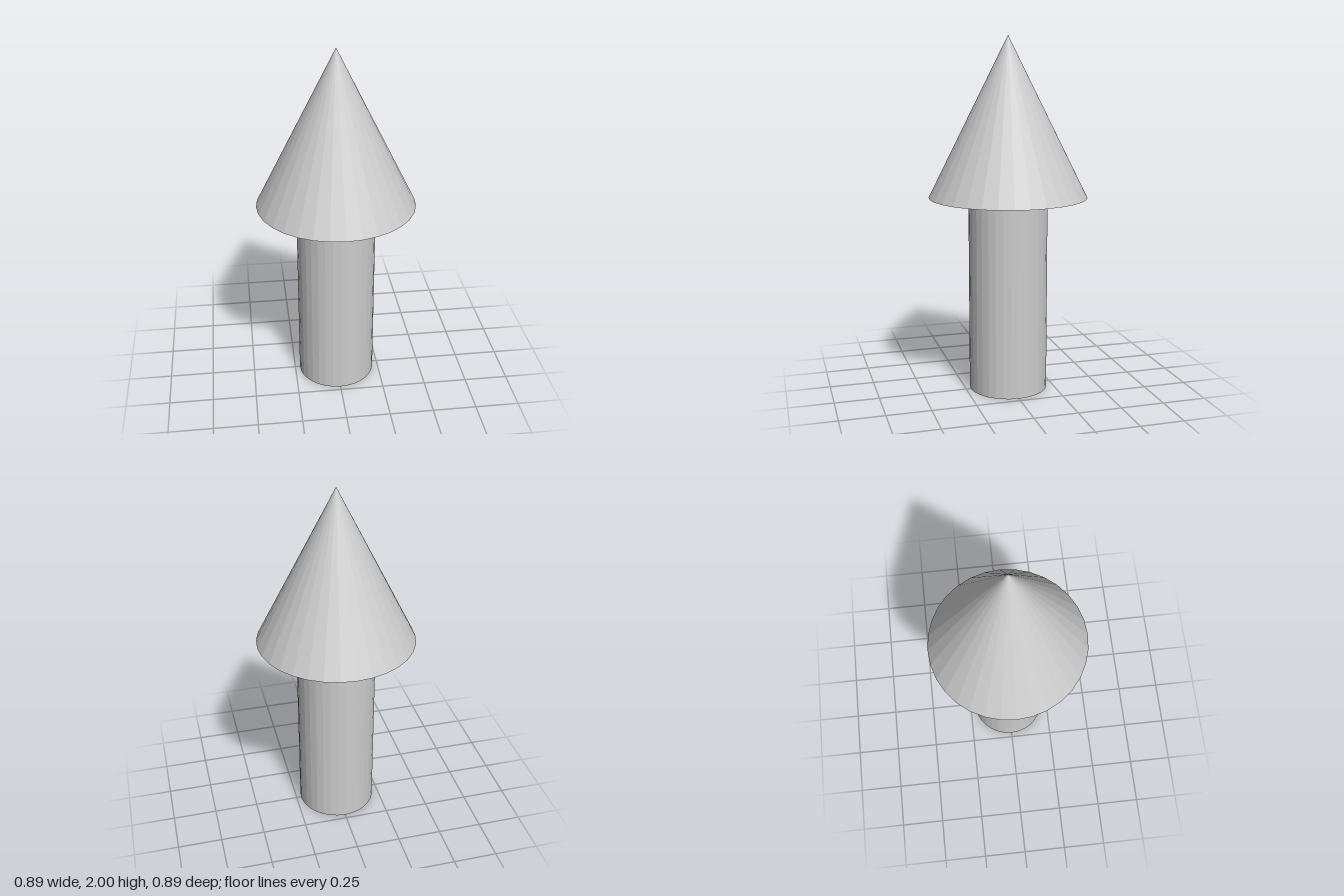
import * as THREE from 'three';

const SIDES = 32;
const SHAFT_RADIUS = 0.222;
const SHAFT_HEIGHT = 1.111;
const HEAD_RADIUS = 0.444;
const HEAD_HEIGHT = 0.889;

export function createModel() {
  const group = new THREE.Group();
  group.name = 'arrow';
  const material = new THREE.MeshStandardMaterial({ color: 0xcccccc, flatShading: true });

  // Stands a part of the given height on the level y = base
  const addPart = (name, geometry, base, height) => {
    const mesh = new THREE.Mesh(geometry, material);
    mesh.name = name;
    mesh.position.y = base + height / 2;
    group.add(mesh);
  };

  // Straight round shaft
  addPart('shaft', new THREE.CylinderGeometry(SHAFT_RADIUS, SHAFT_RADIUS, SHAFT_HEIGHT, SIDES), 0, SHAFT_HEIGHT);

  // Pointed head, closed underneath
  addPart('head', new THREE.ConeGeometry(HEAD_RADIUS, HEAD_HEIGHT, SIDES), SHAFT_HEIGHT, HEAD_HEIGHT);

  return group;
}
